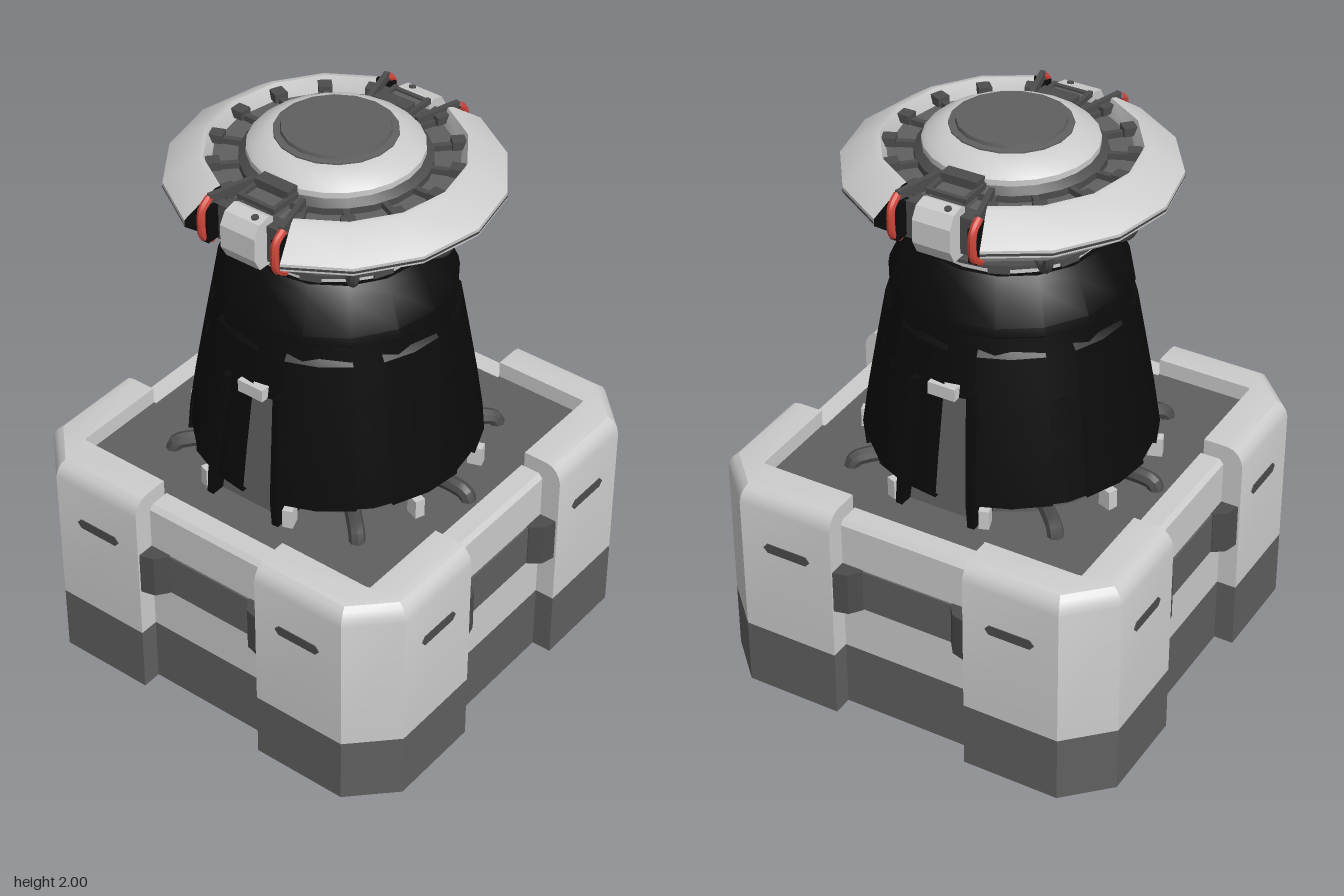
import * as THREE from 'three';
import { toCreasedNormals } from 'three/addons/utils/BufferGeometryUtils.js';

const mat = (name, color, side = THREE.FrontSide) => {
  const m = new THREE.MeshStandardMaterial({ color, side });
  m.name = name;
  return m;
};
const RAD = Math.PI / 180;

export function createModel() {
  const light = mat('lightGrey', 0xcccccc);
  const dark = mat('darkGrey', 0x606060);
  const metal = mat('gunmetal', 0x4c4c4c);
  const black = mat('black', 0x0b0b0b, THREE.DoubleSide);
  const red = mat('red', 0xd0463a);
  const model = new THREE.Group();
  model.name = 'turretTower';

  const add = (parent, name, geo, material, x = 0, y = 0, z = 0) => {
    const mesh = new THREE.Mesh(toCreasedNormals(geo, 0.45), material);
    mesh.name = name;
    mesh.position.set(x, y, z);
    parent.add(mesh);
    return mesh;
  };
  const box = (parent, name, w, h, d, material, x, y, z) =>
    add(parent, name, new THREE.BoxGeometry(w, h, d), material, x, y, z);
  const vecs = (pts) => pts.map(([a, b]) => new THREE.Vector2(a, b));
  // Lathe from [radius, y] points listed bottom to top; angles in degrees from +z
  const lathe = (parent, name, pts, material, segs = 18, start = 0, sweep = 360) =>
    add(parent, name, new THREE.LatheGeometry(vecs(pts), segs, start * RAD, sweep * RAD), material);
  // Profile of [z, y] points extruded across x, centred on x
  const across = (parent, name, pts, width, material, x = 0) => {
    const geo = new THREE.ExtrudeGeometry(new THREE.Shape(vecs(pts)), { depth: width, bevelEnabled: false });
    geo.translate(0, 0, -width / 2).rotateY(-Math.PI / 2);
    return add(parent, name, geo, material, x);
  };
  // Tube through [z, y] points in the plane x = 0
  const pipe = (parent, name, pts, radius, material, x = 0) => {
    const curve = new THREE.CatmullRomCurve3(pts.map(([z, y]) => new THREE.Vector3(0, y, z)));
    return add(parent, name, new THREE.TubeGeometry(curve, 12, radius, 8), material, x);
  };
  const turned = (name, deg) => {
    const g = new THREE.Group();
    g.name = name;
    g.rotation.y = deg * RAD;
    model.add(g);
    return g;
  };

  // Closed solid skinned over stacked plan outlines: levels of { y, pts: [x, z] }
  const loft = (levels) => {
    const pos = [], idx = [], n = levels[0].pts.length;
    levels.forEach(({ y, pts }) => pts.forEach(([x, z]) => pos.push(x, y, z)));
    for (let l = 0; l < levels.length - 1; l++)
      for (let i = 0; i < n; i++) {
        const a = l * n + i, b = l * n + (i + 1) % n;
        idx.push(a, b, b + n, a, b + n, a + n);
      }
    const contour = levels[0].pts.map(([x, z]) => new THREE.Vector2(x, -z));
    const top = (levels.length - 1) * n;
    THREE.ShapeUtils.triangulateShape(contour, []).forEach(([a, b, c]) =>
      idx.push(top + a, top + b, top + c, a, c, b));
    const geo = new THREE.BufferGeometry();
    geo.setAttribute('position', new THREE.Float32BufferAttribute(pos, 3));
    geo.setIndex(idx);
    return geo;
  };
  // L-shaped corner outline, its outer edge pulled in by d
  const corner = (y, d) => {
    const o = 0.745 - d, c = 0.6 - 0.41 * d;
    return { y, pts: [[0.25, o], [c, o], [o, c], [o, 0.25], [0.6, 0.25], [0.6, 0.6], [0.25, 0.6]] };
  };

  // Base: deck and four identical quarters
  box(model, 'deck', 1.2, 0.76, 1.2, dark, 0, 0.38, 0);
  const slotShape = new THREE.Shape(vecs([[-0.09, 0], [-0.075, -0.018], [0.075, -0.018], [0.09, 0], [0.075, 0.018], [-0.075, 0.018]]));
  for (let q = 0; q < 4; q++) {
    const g = turned('baseQuarter', q * 90);
    add(g, 'cornerFoot', loft([corner(0, 0), corner(0.245, 0)]), dark);
    add(g, 'cornerArmour', loft([corner(0.245, 0), corner(0.755, 0), corner(0.78, 0.006), corner(0.8, 0.018), corner(0.814, 0.035), corner(0.82, 0.06)]), light);
    box(g, 'wallFoot', 0.5, 0.245, 0.08, dark, 0, 0.1225, 0.635);
    across(g, 'wallArmour', [[0.59, 0.245], [0.675, 0.245], [0.675, 0.745], [0.66, 0.762], [0.59, 0.762]], 0.5, light);
    box(g, 'wallBand', 0.36, 0.155, 0.02, dark, 0, 0.51, 0.672);
    for (const s of [-1, 1]) {
      const plan = [[0.17 * s, 0.67], [0.17 * s, 0.685], [0.2 * s, 0.725], [0.25 * s, 0.738], [0.25 * s, 0.67]];
      if (s > 0) plan.reverse();
      add(g, 'bandBracket', loft([{ y: 0.43, pts: plan.reverse() }, { y: 0.59, pts: plan }]), metal);
      add(g, 'ventSlot', new THREE.ExtrudeGeometry(slotShape, { depth: 0.004, bevelEnabled: false }), metal, 0.423 * s, 0.603, 0.744);
    }
  }

  // Tower: body in two halves around the doorways, with raised panels and a collar
  lathe(model, 'towerPlinth', [[0, 0.75], [0.41, 0.75], [0.41, 0.83], [0, 0.83]], dark);
  for (const start of [14, 194])
    lathe(model, 'towerLower', [[0.36, 0.835], [0.49, 0.835], [0.465, 1.0], [0.43, 1.2], [0.36, 1.2]], black, 8, start, 152);
  lathe(model, 'towerUpper', [[0.3, 1.2], [0.43, 1.2], [0.39, 1.43]], black, 16);
  lathe(model, 'towerCollar', [[0.38, 1.415], [0.405, 1.435], [0.4, 1.465], [0.35, 1.575], [0.32, 1.61], [0, 1.61]], black, 16);
  for (let i = 0; i < 8; i++)
    lathe(model, 'towerPanel', [[0.48, 0.84], [0.5, 0.84], [0.476, 1.0], [0.441, 1.2], [0.412, 1.36], [0.39, 1.38]], black, 2, i * 45 + 7.5 + 7, 31);

  // Front and back: doorway below, head pod above
  for (const turn of [0, 180]) {
    const g = turned('doorway', turn);
    const panel = (y, w, z) => ({ y, pts: [[-w, z], [w, z], [w, z - 0.06], [-w, z - 0.06]] });
    add(g, 'doorPanel', loft([panel(0.76, 0.125, 0.45), panel(1.21, 0.1, 0.395)]), dark);
    box(g, 'doorCap', 0.1, 0.045, 0.065, light, 0, 1.222, 0.415);
    for (const s of [-1, 1]) {
      const cheek = across(g, 'doorCheek', [[0.34, 0.765], [0.5, 0.765], [0.5, 0.86], [0.445, 1.24], [0.36, 1.24]], 0.025, black);
      cheek.rotation.z = s * 0.07;
      cheek.position.x = s * 0.19;
    }

    const p = turned('headPod', turn);
    across(p, 'podShell', [[0.4, 1.735], [0.465, 1.735], [0.49, 1.78], [0.49, 1.86], [0.465, 1.9], [0.42, 1.91], [0.4, 1.9]], 0.135, light);
    box(p, 'podMount', 0.29, 0.13, 0.06, metal, 0, 1.815, 0.4);
    const dot = add(p, 'podPort', new THREE.CylinderGeometry(0.012, 0.012, 0.006, 10), metal, 0.035, 1.907, 0.445);
    dot.rotation.x = 0.2;
    box(p, 'hatchTop', 0.13, 0.03, 0.05, metal, 0, 1.93, 0.3);
    box(p, 'hatchBack', 0.11, 0.05, 0.1, dark, 0, 1.89, 0.34);
    box(p, 'hatchBar', 0.14, 0.015, 0.015, metal, 0, 1.915, 0.39);
    for (const s of [-1, 1]) {
      pipe(p, 'redHandle', [[0.44, 1.75], [0.48, 1.78], [0.488, 1.83], [0.48, 1.88], [0.445, 1.905]], 0.014, red, 0.145 * s);
      box(p, 'handleBacking', 0.03, 0.12, 0.07, black, 0.14 * s, 1.82, 0.445);
      const rail = box(p, 'slotRail', 0.018, 0.03, 0.17, metal, 0.12 * s, 1.905, 0.37);
      rail.rotation.y = 0.27 * s;
      box(p, 'hatchArm', 0.015, 0.02, 0.12, metal, 0.065 * s, 1.915, 0.34);
    }
  }

  // Neck and bowl under the head
  lathe(model, 'neckRing', [[0.3, 1.605], [0.3, 1.64]], light, 24);
  lathe(model, 'neckFlange', [[0.29, 1.636], [0.32, 1.636], [0.32, 1.648], [0.28, 1.648]], metal, 24);
  lathe(model, 'headBowl', [[0.27, 1.645], [0.295, 1.67], [0.335, 1.73], [0.37, 1.77], [0.4, 1.8], [0.405, 1.87], [0, 1.875]], dark, 18);
  for (let i = 0; i < 8; i++) box(turned('neckBlocks', i * 45 + 22.5), 'neckBlock', 0.07, 0.028, 0.02, metal, 0, 1.622, 0.295);

  // Pipes on the sides and diagonals, clamps around the tower foot
  for (const a of [45, 90, 135, 225, 270, 315]) {
    const g = turned('pipes', a);
    pipe(g, 'headPipe', [[0.29, 1.69], [0.35, 1.675], [0.41, 1.69], [0.44, 1.73], [0.445, 1.78]], 0.018, metal);
    pipe(g, 'deckPipe', [[0.42, 0.79], [0.5, 0.79], [0.54, 0.78], [0.555, 0.74]], 0.028, metal);
  }
  for (const a of [20, 70, 110, 160, 200, 250, 290, 340])
    box(turned('footClamps', a), 'footClamp', 0.035, 0.07, 0.05, light, 0, 0.8, 0.49);

  // Head ring: two arcs with closed black ends
  const ringProfile = [[0.4, 1.75], [0.46, 1.75], [0.55, 1.815], [0.55, 1.84], [0.44, 1.918], [0.42, 1.922], [0.4, 1.87]];
  for (const start of [20, 200]) {
    lathe(model, 'headRing', [...ringProfile, ringProfile[0]], light, 6, start, 140);
    lathe(model, 'ringSeam', [[0.551, 1.822], [0.553, 1.832]], metal, 6, start, 140);
    for (const end of [start, start + 140])
      add(model, 'ringEnd', new THREE.ShapeGeometry(new THREE.Shape(vecs(ringProfile))), black).rotation.y = (end - 90) * RAD;
    // Clips at each ring joint
    for (let i = 0; i <= 6; i++) {
      const g = turned('ringClips', start + (i * 140) / 6);
      box(g, 'clipArm', 0.02, 0.02, 0.14, metal, 0, 1.885, 0.345);
      box(g, 'clipBlock', 0.045, 0.03, 0.045, metal, 0, 1.895, 0.39);
    }
  }

  // Central dome and cap
  lathe(model, 'domeRim', [[0.31, 1.87], [0.31, 1.895], [0.285, 1.915]], metal, 24);
  lathe(model, 'dome', [[0.285, 1.9], [0.285, 1.935], [0.27, 1.95], [0.215, 1.98], [0.18, 1.983]], light, 24);
  lathe(model, 'domeCap', [[0.2, 1.975], [0.2, 1.986], [0.178, 1.988], [0.175, 2.0], [0, 2.0]], dark, 18);
  return model;
}
